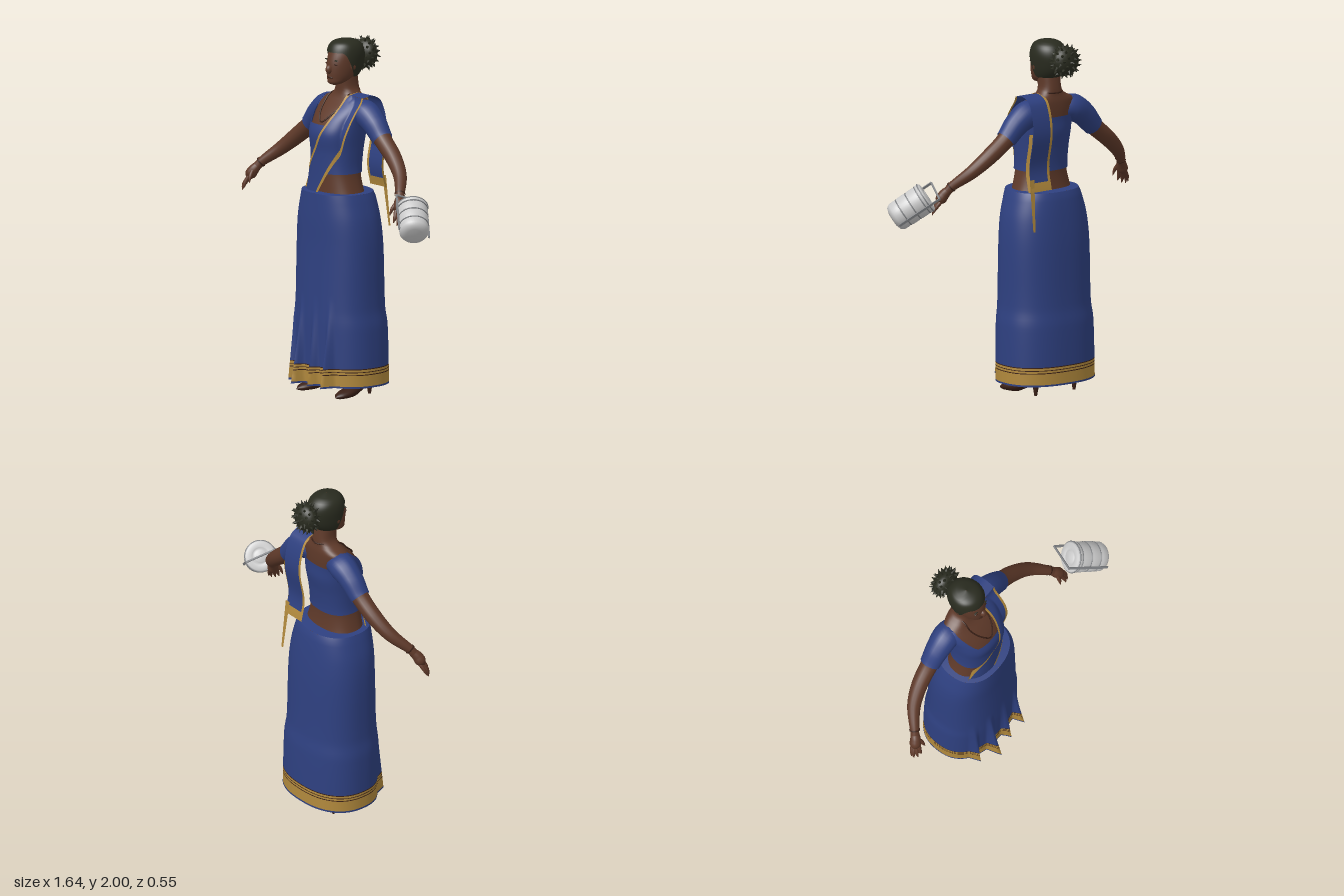
import * as THREE from 'three';
import { mergeVertices } from 'three/addons/utils/BufferGeometryUtils.js';

const CX = -0.135; // the body's own centre line
const mat = (name, color) => Object.assign(new THREE.MeshStandardMaterial({ color, side: THREE.DoubleSide }), { name });
const V = (x, y, z) => new THREE.Vector3(x, y, z);
const smooth = THREE.MathUtils.smoothstep, mix = THREE.MathUtils.lerp;

// Smooth lookup in a table of rows [key, a, b, ...] with rising keys
function at(tab, k) {
  let i = 0;
  while (i < tab.length - 2 && k > tab[i + 1][0]) i++;
  const a = tab[i], b = tab[i + 1], p = tab[Math.max(i - 1, 0)], n = tab[Math.min(i + 2, tab.length - 1)];
  const h = b[0] - a[0], t = THREE.MathUtils.clamp((k - a[0]) / h, 0, 1), t2 = t * t, t3 = t2 * t;
  return a.slice(1).map((va, j) => {
    const vb = b[j + 1], ma = (vb - p[j + 1]) / (b[0] - p[0]) * h, mb = (n[j + 1] - va) / (n[0] - a[0]) * h;
    return va * (2 * t3 - 3 * t2 + 1) + ma * (t3 - 2 * t2 + t) + vb * (3 * t2 - 2 * t3) + mb * (t3 - t2);
  });
}

// Smooth surface over a grid; fn(u, v) gives [x, y, z]
function sheet(name, material, nu, nv, fn) {
  const pos = [], idx = [], w = nu + 1;
  for (let j = 0; j <= nv; j++) for (let i = 0; i <= nu; i++) pos.push(...fn(i / nu, j / nv));
  for (let j = 0; j < nv; j++) for (let i = 0; i < nu; i++) {
    const a = j * w + i;
    idx.push(a, a + 1, a + w, a + 1, a + w + 1, a + w);
  }
  let g = new THREE.BufferGeometry();
  g.setAttribute('position', new THREE.Float32BufferAttribute(pos, 3));
  g.setIndex(idx);
  g = mergeVertices(g, 1e-5);
  g.computeVertexNormals();
  return part(name, g, material);
}
function part(name, geometry, material, x = 0, y = 0, z = 0, sx = 1, sy = 1, sz = 1) {
  const m = new THREE.Mesh(geometry, material);
  m.name = name; m.position.set(x, y, z); m.scale.set(sx, sy, sz);
  return m;
}

// Round limb through points [x, y, z, radius]
function limb(name, material, pts, t0 = 0, t1 = 1, off = 0, nv = 24) {
  const curve = new THREE.CatmullRomCurve3(pts.map(p => V(p[0], p[1], p[2])));
  const radii = pts.map((p, i) => [i / (pts.length - 1), p[3]]);
  return sheet(name, material, 16, nv, (u, v) => {
    const t = mix(t0, t1, v), c = curve.getPoint(t), T = curve.getTangent(t);
    const N = T.clone().cross(V(0, 0, 1)).normalize(), B = T.clone().cross(N);
    const r = at(radii, t)[0] + off, a = u % 1 * Math.PI * 2;
    return c.addScaledVector(N, r * Math.cos(a)).addScaledVector(B, r * Math.sin(a)).toArray();
  });
}

// Cross-sections: [y, half width, z centre, half depth]
const TORSO = [[1.08, .2, 0, .13], [1.18, .165, .008, .118], [1.27, .145, .01, .115], [1.38, .145, .005, .122], [1.48, .152, 0, .136],
  [1.55, .157, -.015, .122], [1.61, .165, -.04, .1], [1.66, .15, -.065, .074], [1.69, .09, -.07, .063], [1.72, .064, -.07, .062], [1.8, .06, -.06, .062]];
const HEAD = [[1.745, .015, .02, .015], [1.755, .04, .012, .045], [1.78, .062, -.02, .08], [1.82, .076, -.04, .102], [1.87, .083, -.05, .108],
  [1.92, .084, -.057, .1], [1.96, .072, -.058, .082], [1.98, .047, -.058, .053], [1.99, .002, -.058, .002]];
const SKIRT = [[.07, .289, -.03, .218], [.4, .283, -.025, .215], [.5, .271, -.02, .208], [.85, .265, -.018, .198], [1, .25, -.012, .192], [1.12, .217, -.005, .182], [1.15, .205, 0, .176]];
const EXP = .85;
const pw = v => Math.sign(v) * Math.abs(v) ** EXP;
function ring(tab, u, y, off = 0, pow = pw) {
  const [w, zc, d] = at(tab, y), a = (u % 1) * Math.PI * 2;
  return [CX + (w + off) * pow(Math.sin(a)), y, zc + (d + off) * pow(Math.cos(a))];
}
// Front of the torso at x, y
function chestZ(x, y, off) {
  const [w, zc, d] = at(TORSO, y), r = Math.min(Math.abs((x - CX) / w), .9);
  return zc + off + d * (1 - r ** (2 / EXP)) ** (EXP / 2);
}

export function createModel() {
  const root = new THREE.Group();
  root.name = 'womanWithLunchTin';
  const skin = mat('brown skin', 0x5e3929), blue = mat('blue cloth', 0x2e4080), gold = mat('gold border', 0xb0883c), hair = mat('black hair', 0x292b1f),
    dark = mat('dark brown', 0x3a2016), steel = mat('steel', 0xcacaca), grey = mat('dark steel', 0x85878a);
  const group = (name, ...kids) => { const g = new THREE.Group(); g.name = name; if (kids.length) g.add(...kids); root.add(g); return g; };
  const ball = new THREE.SphereGeometry(1, 20, 14);
  const id = v => v;

  // Torso and blouse with a wide scooped neckline
  group('torso',
    sheet('body', skin, 48, 48, (u, v) => ring(TORSO, u, mix(1.08, 1.8, v))),
    sheet('blouse', blue, 64, 24, (u, v) => {
      const a = u * Math.PI * 2, low = Math.cos(a) > 0 ? 1.53 : 1.57;
      return ring(TORSO, u, mix(1.26, mix(low, 1.665, smooth(Math.abs(Math.sin(a)), .55, .92)), v), .008);
    }));

  // Head
  const head = group('head', sheet('face', skin, 40, 36, (u, v) => ring(HEAD, u, mix(1.745, 1.99, v), 0, id)),
    sheet('hairCap', hair, 60, 20, (u, v) => {
      const low = mix(1.79, 1.93, smooth(Math.cos(u * Math.PI * 2), -.3, .75));
      const p = ring(HEAD, u, mix(low, 1.99, v), .013 * (1 - v ** 6), id);
      p[1] += .01 * v;
      return p;
    }),
    part('nose', ball, skin, CX, 1.835, .058, .019, .026, .025),
    part('lips', ball, dark, CX, 1.79, .05, .027, .009, .013),
    part('chin', ball, skin, CX, 1.765, .035, .03, .018, .024));
  for (const s of [-1, 1]) head.add(
    part('eye', ball, dark, CX + s * .035, 1.864, .045, .015, .005, .006),
    part('eyebrow', ball, hair, CX + s * .036, 1.886, .043, .02, .004, .005),
    part('ear', ball, skin, CX + s * .083, 1.855, -.045, .012, .03, .02));

  // Spiky bun
  const bun = group('bun', part('bunCore', ball, hair, CX - .005, 1.895, -.205, .082, .083, .056),
    part('hairTie', ball, dark, CX, 1.905, -.155, .04, .04, .025));
  const spike = new THREE.ConeGeometry(.017, .045, 5);
  for (let i = 0; i < 70; i++) {
    const y = 1 - 2 * (i + .5) / 70, a = i * 2.39996, r = Math.sqrt(1 - y * y), n = V(r * Math.cos(a), y, r * Math.sin(a));
    const c = part('hairSpike', spike, hair, CX - .005 + n.x * .081, 1.895 + n.y * .082, -.205 + n.z * .056);
    c.quaternion.setFromUnitVectors(V(0, 1, 0), n.add(V(.35 * Math.sin(i * 5), .35 * Math.cos(i * 3), 0)).normalize());
    bun.add(c);
  }

  // Necklace
  const beads = [[0, 1.545], [.045, 1.585], [.072, 1.64], [.07, 1.685]].map(([x, y]) => [x, y, chestZ(CX + x, y, .009)]);
  beads.push([.05, 1.705, -.115], [0, 1.705, -.14]);
  const loop = [...beads, ...beads.slice(1, -1).reverse().map(([x, y, z]) => [-x, y, z])].map(p => V(CX + p[0], p[1], p[2]));
  root.add(part('necklace', new THREE.TubeGeometry(new THREE.CatmullRomCurve3(loop, true), 80, .0045, 6, true), dark));

  // Arms, hands, legs and shoes, mirrored
  const ARM = [[.085, 1.59, -.065, .055], [.155, 1.592, -.07, .07], [.235, 1.545, -.07, .062], [.31, 1.467, -.068, .051],
    [.42, 1.38, -.055, .046], [.515, 1.3, -.02, .038], [.6, 1.218, .052, .026], [.615, 1.195, .066, .025]];
  const FINGERS = [[[.64, 1.15, .075], [.675, 1.105, .09], [.69, 1.07, .1]], [[.645, 1.14, .087], [.678, 1.095, .105], [.685, 1.058, .115]],
    [[.643, 1.14, .1], [.666, 1.092, .12], [.668, 1.06, .13]], [[.636, 1.14, .11], [.648, 1.1, .128], [.645, 1.075, .137]],
    [[.62, 1.18, .09], [.612, 1.145, .118], [.606, 1.11, .13]]];
  const SHOE = [[-.14, .016, .068, .09], [-.11, .033, .055, .1], [-.05, .034, .035, .085], [.02, .042, .006, .07], [.08, .047, .002, .052], [.13, .03, .003, .035], [.155, .003, .01, .018]];
  for (const s of [-1, 1]) {
    const flip = rows => rows.map(([x, ...r]) => [CX + s * x, ...r]);
    const arm = group(s < 0 ? 'rightArm' : 'leftArm',
      limb('armSkin', skin, flip(ARM), .1, 1, 0, 36), limb('sleeve', blue, flip(ARM), 0, 3 / 7, .007),
      limb('palm', skin, flip([[.612, 1.2, .063, .024], [.628, 1.175, .08, .03], [.645, 1.145, .092, .03], [.657, 1.115, .104, .003]])),
      limb('bangle', dark, flip(ARM), .85, .87, .004, 2));
    for (const f of FINGERS) arm.add(limb('finger', skin, flip(f.map((p, i) => [...p, [.012, .0105, .002][i]])), 0, 1, 0, 8));

    group(s < 0 ? 'rightLeg' : 'leftLeg', limb('legSkin', skin, flip([[.1, 1.1, -.01, .1], [.115, .85, -.01, .095], [.13, .5, -.02, .06], [.14, .33, -.045, .055], [.15, .1, -.075, .032], [.15, .06, -.07, .03]])));
    const shoe = group('shoe', sheet('shoeBody', dark, 20, 24, (u, v) => {
      const z = mix(-.14, .155, v), [w, lo, hi] = at(SHOE, z), a = -(u % 1) * Math.PI * 2;
      return [w * Math.cos(a), (lo + hi) / 2 + (hi - lo) / 2 * Math.sin(a), z];
    }), part('heel', new THREE.CylinderGeometry(.02, .008, .07, 10), dark, 0, .035, -.118));
    shoe.position.x = CX + s * .15;
    shoe.rotation.y = s * .12;
  }

  // Skirt: horizontal bands of one pleated surface
  const skirtAt = (u, y) => {
    const p = ring(SKIRT, u, y);
    if (Math.cos(u * Math.PI * 2) > 0) {
      const k = Math.max(0, 1 - (y - .07) / .5);
      [[-.09, .088], [.03, .062], [.14, .075], [-.19, .05]].forEach(([x, h]) => {
        p[2] += h * k ** 1.3 * Math.max(0, 1 - Math.abs(p[0] - CX - x) / .026);
      });
    }
    return p;
  };
  const skirt = group('skirt');
  [[.07, .08, blue], [.08, .142, gold], [.142, .147, dark], [.147, .158, gold], [.158, .162, dark], [.162, .174, gold], [.174, .179, dark], [.179, 1.15, blue]].forEach(([a, b, m]) =>
    skirt.add(sheet(m === blue ? 'skirtCloth' : 'skirtBorder', m, 200, b - a > .5 ? 40 : 2, (u, v) => skirtAt(u, mix(a, b, v)))));
  skirt.add(sheet('waistband', blue, 60, 2, (u, v) => {
    const p = ring(SKIRT, u, 1.15);
    return [mix(p[0], CX, v * .25), 1.15 + .004 * v, p[2] * (1 - v * .35)];
  }));

  // Sash: across the chest, over the left shoulder and down the back
  const INNER = [[1.15, -.307], [1.25, -.262], [1.34, -.2], [1.46, -.122], [1.6, -.065], [1.69, -.065]];
  const OUTER = [[1.15, -.133], [1.25, -.07], [1.38, .002], [1.52, .055], [1.69, .065]];
  const BACK = [[0, 1.69, -.02], [.1, 1.698, -.085], [.2, 1.66, -.148], [.45, 1.5, -.186], [.75, 1.3, -.155], [1, 1.17, -.178]];
  const sash = group('sash');
  const front = (a, b, m) => sheet('sashFront', m, 20, 36, (u, v) => {
    const y = mix(1.15, 1.69, v), x = mix(at(INNER, y)[0], at(OUTER, y)[0], mix(a, b, u));
    return [x, y, chestZ(x, y, .02)];
  });
  const back = (a, b, v0, v1, m) => sheet('sashBack', m, 10, 30, (u, v) => {
    const t = mix(v0, v1, v), [y, z] = at(BACK, t);
    return [mix(.065 + .012 * t, -.065, mix(a, b, u)), y, z];
  });
  sash.add(front(0, .1, gold), front(.1, .9, blue), front(.9, 1, gold),
    back(0, .88, 0, .9, blue), back(.88, 1, 0, .9, gold), back(0, 1, .9, 1, gold),
    sheet('sashEdge', gold, 2, 16, (u, v) => { const [y, z] = at(BACK, mix(1, .45, v)); return [.076 + .009 * u, y, z + .02 * u]; }),
    sheet('sashTail', gold, 4, 12, (u, v) => [mix(.083, .05 + .018 * v, u), mix(1.24, .95, v), mix(-.168, -.2, v)]));

  // Stacked lunch tin hanging from the left hand; local y points to the lid
  const prof = [[0, -.118], [.045, -.117], [.07, -.108], [.082, -.09], [.084, -.06], [.079, -.045], [.085, -.037], [.086, .005], [.08, .018],
    [.086, .026], [.086, .07], [.081, .08], [.088, .084], [.088, .1], [.08, .112], [.052, .114], [.048, .108], [.036, .108], [.032, .116], [0, .118]];
  const tin = group('lunchTin', part('tinBody', new THREE.LatheGeometry(prof.map(p => new THREE.Vector2(...p)), 40), steel));
  for (const [y, r] of [[-.045, .081], [.018, .082], [.08, .084], [.1, .087]]) {
    const t = part('seamRing', new THREE.TorusGeometry(r, .004, 6, 40), grey, 0, y, 0);
    t.rotation.x = Math.PI / 2;
    tin.add(t);
  }
  for (const s of [-1, 1]) tin.add(part('sideClip', new THREE.BoxGeometry(.014, .27, .006), grey, 0, .035, s * .091));
  const bar = part('handle', new THREE.CylinderGeometry(.006, .006, .184, 10), grey, 0, .168, 0);
  bar.rotation.x = Math.PI / 2;
  tin.add(bar);
  const up = V(-.68, .56, -.49).normalize(), side = V(0, 0, 1).addScaledVector(up, -up.z).normalize();
  tin.quaternion.setFromRotationMatrix(new THREE.Matrix4().makeBasis(up.clone().cross(side), up, side));
  tin.position.set(.685, 1.115, .14);

  return root;
}
